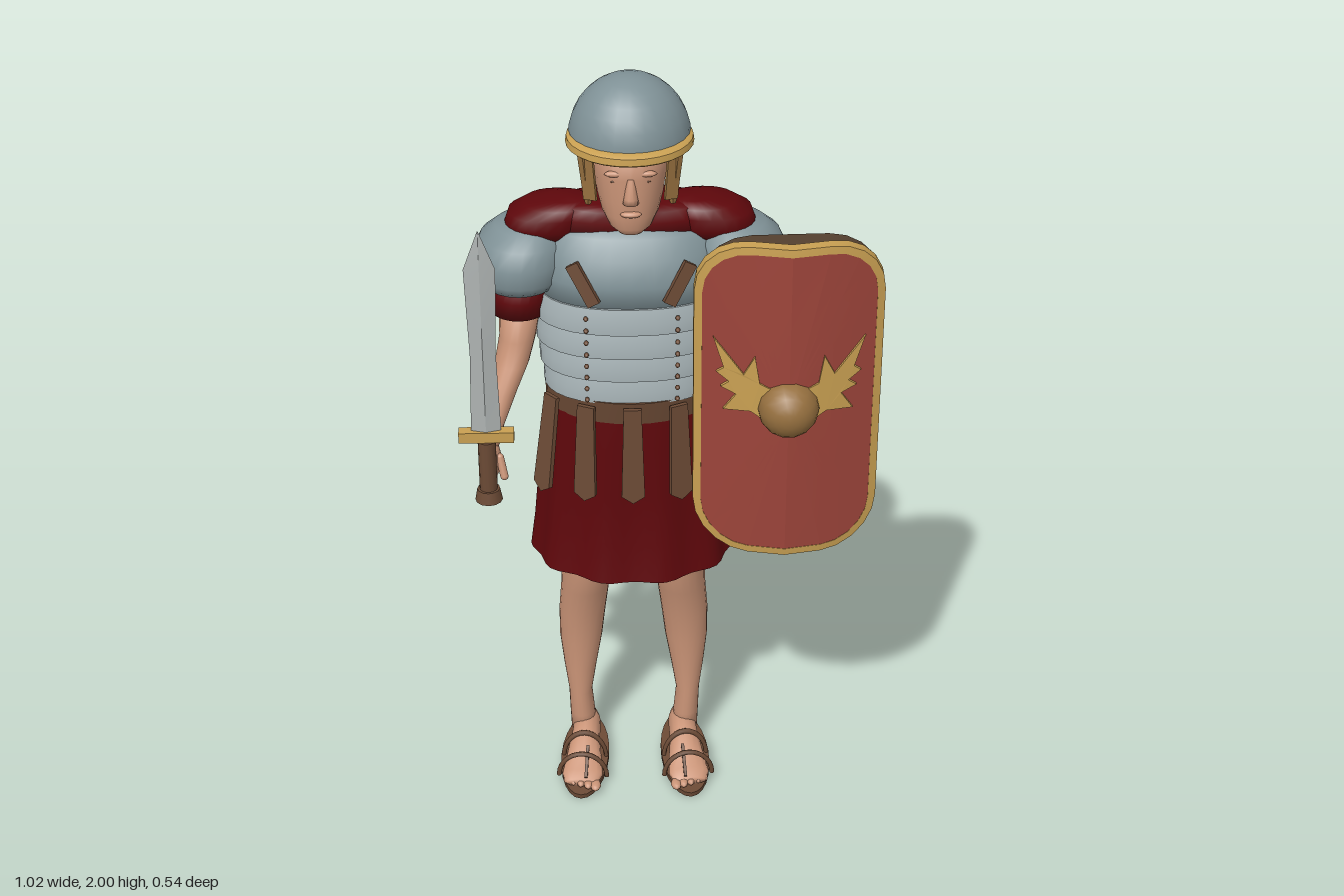
import * as THREE from 'three';
import { toCreasedNormals } from 'three/addons/utils/BufferGeometryUtils.js';

const mat = (name, color, side = THREE.FrontSide) => {
  const m = new THREE.MeshStandardMaterial({ color, side });
  m.name = name;
  return m;
};

// Joins equal-length rings of [x, y, z] points into a skin, with optional end caps.
function skin(rings, { caps = true, crease = 0 } = {}) {
  const n = rings[0].length, pos = rings.flat(2), idx = [];
  for (let i = 0; i < rings.length - 1; i++)
    for (let j = 0; j < n; j++) {
      const a = i * n + j, b = i * n + (j + 1) % n;
      idx.push(a, a + n, b, b, a + n, b + n);
    }
  if (caps) [0, rings.length - 1].forEach((r, end) => {
    const c = pos.length / 3;
    pos.push(...[0, 1, 2].map(k => rings[r].reduce((t, p) => t + p[k], 0) / n));
    for (let j = 0; j < n; j++) {
      const a = r * n + j, b = r * n + (j + 1) % n;
      idx.push(...(end ? [c, b, a] : [c, a, b]));
    }
  });
  const g = new THREE.BufferGeometry();
  g.setAttribute('position', new THREE.Float32BufferAttribute(pos, 3));
  g.setIndex(idx);
  g.computeVertexNormals();
  return crease ? toCreasedNormals(g, crease) : g;
}

// Horizontal (super)ellipse sections, bottom to top: [y, cx, cz, rx, rz]
const bend = (v, e) => Math.sign(v) * Math.abs(v) ** (2 / e);
function loft(sections, { n = 24, e = 2, ...opts } = {}) {
  return skin(sections.map(([y, cx, cz, rx, rz]) => Array.from({ length: n }, (_, j) => {
    const a = j / n * Math.PI * 2;
    return [cx + rx * bend(Math.cos(a), e), y, cz + rz * bend(Math.sin(a), e)];
  })), opts);
}

export function createModel() {
  const M = {
    skin: mat('skin', 0xca9477),
    steel: mat('steel', 0x7f9196),
    plate: mat('bright plate', 0xa6b2b5),
    blade: mat('blade steel', 0xadb2b1),
    gold: mat('gold', 0xc9a052),
    bronze: mat('bronze', 0x96703f),
    cloth: mat('dark red cloth', 0x5e070b, THREE.DoubleSide),
    shield: mat('shield red', 0x9c443a),
    leather: mat('leather', 0x6b4a35),
    wood: mat('shield back', 0x54402f),
  };
  const model = new THREE.Group();
  const body = new THREE.Group();
  body.name = 'soldier';
  body.position.x = -0.09;
  model.add(body);
  const add = (parent, name, geo, m, p = [0, 0, 0], r = [0, 0, 0]) => {
    const mesh = new THREE.Mesh(geo, m);
    mesh.name = name;
    mesh.position.set(...p);
    mesh.rotation.set(...r);
    parent.add(mesh);
    return mesh;
  };
  const ball = (x, y, z, seg = 14) => new THREE.SphereGeometry(1, seg, 10).scale(x, y, z);
  const box = (x, y, z) => new THREE.BoxGeometry(x, y, z);

  // Head and neck
  add(body, 'neck', loft([[1.58, 0, -0.085, 0.08, 0.07], [1.66, 0, -0.08, 0.07, 0.065], [1.75, 0, -0.08, 0.068, 0.06]]), M.skin);
  add(body, 'head', loft([
    [1.645, 0, 0.04, 0.028, 0.025], [1.66, 0, 0.022, 0.05, 0.05], [1.69, 0, -0.012, 0.069, 0.09],
    [1.73, 0, -0.03, 0.08, 0.11], [1.79, 0, -0.032, 0.088, 0.113], [1.87, 0, -0.035, 0.09, 0.113],
  ], { e: 2.2 }), M.skin);
  add(body, 'nose', loft([[1.735, 0, 0.08, 0.019, 0.02], [1.75, 0, 0.082, 0.016, 0.018], [1.795, 0, 0.076, 0.008, 0.01]], { n: 10 }), M.skin);
  add(body, 'lips', ball(0.025, 0.008, 0.012), M.skin, [0, 1.705, 0.077]);

  // Helmet: the brim sits forward, vanishing under the bowl at the back
  const bowl = new THREE.SphereGeometry(1, 24, 8, 0, Math.PI * 2, 0, Math.PI / 2).scale(0.145, 0.155, 0.14);
  add(body, 'helmetBowl', bowl, M.steel, [0, 1.845, -0.054]);
  add(body, 'helmetBrim', loft([[1.838, 0, -0.037, 0.145, 0.141], [1.842, 0, -0.037, 0.151, 0.145],
    [1.858, 0, -0.037, 0.149, 0.143], [1.864, 0, -0.04, 0.14, 0.136]], { n: 28, crease: 0.6 }), M.gold);

  // Scarf: a collar with a lobe over each shoulder
  add(body, 'scarfCollar', loft([[1.6, 0, -0.085, 0.2, 0.088], [1.64, 0, -0.085, 0.2, 0.088],
    [1.665, 0, -0.085, 0.17, 0.082], [1.677, 0, -0.08, 0.09, 0.076]], { n: 28, e: 2.2 }), M.cloth);

  // Cuirass and overlapping bands
  add(body, 'cuirass', loft([[1.42, 0, -0.09, 0.224, 0.152], [1.5, 0, -0.092, 0.23, 0.159],
    [1.56, 0, -0.098, 0.224, 0.146], [1.605, 0, -0.102, 0.2, 0.118], [1.635, 0, -0.1, 0.14, 0.095]], { n: 32, e: 2.3 }), M.steel);
  [0.214, 0.223, 0.231, 0.233].forEach((rx, i) => {
    const y = 1.178 + i * 0.066, rz = rx * 0.69;
    add(body, 'torsoBand', loft([[y, 0, -0.085, rx * 0.97, rz * 0.97], [y + 0.004, 0, -0.085, rx * 1.015, rz * 1.015],
      [y + 0.035, 0, -0.085, rx * 1.015, rz * 1.015], [y + 0.07, 0, -0.085, rx * 0.97, rz * 0.96]],
    { n: 32, e: 2.3, crease: 0.7 }), M.plate);
  });

  // Belt (higher at the back), skirt and hanging straps
  add(body, 'belt', loft([[-0.032, 0, 0, 0.214, 0.141], [0.032, 0, 0, 0.214, 0.145]], { n: 32, crease: 0.6 }),
    M.leather, [0, 1.168, -0.077], [0.1, 0, 0]);
  const folds = 60;
  add(body, 'skirt', skin([
    [0.655, 0.257, 0.17, -0.094, 0.007], [0.77, 0.245, 0.153, -0.093, 0.006], [0.9, 0.234, 0.143, -0.087, 0.005],
    [1.05, 0.221, 0.139, -0.08, 0.003], [1.175, 0.206, 0.133, -0.076, 0],
  ].map(([y, rx, rz, cz, amp], i) => Array.from({ length: folds }, (_, j) => {
    const a = j / folds * Math.PI * 2, f = amp * Math.cos(a * 10);
    const z = cz + (rz + f) * Math.sin(a);
    return [(rx + f) * Math.cos(a), y + (i === 0 ? (0.08 - z) * 0.1 : 0), z];
  })), { caps: false }), M.cloth);
  const strapShape = new THREE.Shape([[-0.022, 0.02], [-0.029, -0.225], [0, -0.245], [0.029, -0.225], [0.022, 0.02]]
    .map(p => new THREE.Vector2(...p)));
  const strapGeo = new THREE.ExtrudeGeometry(strapShape, { depth: 0.012, bevelEnabled: false });
  for (const [t, lean] of [[-1, -0.15], [-0.5, -0.06], [0, -0.04], [0.5, -0.06], [1, -0.15]]) {
    const strap = add(body, 'hangingStrap', strapGeo, M.leather, [0.232 * Math.sin(t), 1.155, -0.08 + 0.153 * Math.cos(t)]);
    strap.rotation.set(lean, t * 0.85, 0, 'YXZ');
  }

  // Mirrored parts: s = 1 is the left side, s = -1 the right
  for (const s of [1, -1]) {
    const limb = (sections, opts) => loft(sections.map(([y, x, ...rest]) => [y, x * s, ...rest]), opts);
    add(body, 'eye', ball(0.012, 0.004, 0.005, 8), M.leather, [s * 0.035, 1.785, 0.067]);
    add(body, 'brow', ball(0.026, 0.008, 0.01, 8), M.skin, [s * 0.036, 1.805, 0.068]);
    add(body, 'ear', ball(0.01, 0.032, 0.018, 8), M.skin, [s * 0.087, 1.775, -0.05]);
    add(body, 'cheekGuard', limb([[1.71, 0.099, 0.008, 0.008, 0.026], [1.73, 0.1, 0, 0.012, 0.04],
      [1.845, 0.112, -0.002, 0.014, 0.045]], { n: 8, e: 4, crease: 0.6 }), M.bronze);
    add(body, 'cheekGuardEdge', box(0.034, 0.115, 0.008), M.bronze, [s * 0.098, 1.785, 0.04], [0, s * 0.5, s * -0.08]);
    add(body, 'scarfLobe', limb([[1.585, 0.2, -0.09, 0.095, 0.07], [1.61, 0.2, -0.09, 0.102, 0.08],
      [1.64, 0.192, -0.09, 0.1, 0.081], [1.662, 0.175, -0.089, 0.08, 0.068], [1.674, 0.15, -0.088, 0.045, 0.04]], { e: 2.2 }), M.cloth);
    add(body, 'shoulderGuard', limb([[1.46, 0.268, -0.09, 0.098, 0.115], [1.485, 0.266, -0.09, 0.117, 0.128],
      [1.53, 0.262, -0.09, 0.12, 0.13], [1.575, 0.255, -0.09, 0.107, 0.113], [1.605, 0.248, -0.09, 0.078, 0.082],
      [1.62, 0.24, -0.09, 0.03, 0.035]]), M.steel);
    add(body, 'sleeve', limb([[1.385, 0.272, -0.083, 0.077, 0.09], [1.43, 0.268, -0.085, 0.08, 0.095],
      [1.5, 0.262, -0.09, 0.08, 0.09]]), M.cloth);
    add(body, 'arm', limb([[1.08, 0.348, 0.066, 0.022, 0.026], [1.12, 0.342, 0.047, 0.027, 0.027],
      [1.2, 0.317, 0.008, 0.037, 0.042], [1.26, 0.293, -0.025, 0.042, 0.05], [1.32, 0.278, -0.05, 0.045, 0.053],
      [1.42, 0.268, -0.075, 0.055, 0.06]], { n: 16 }), M.skin);
    // Open left hand, closed right hand behind the grip
    const len = s > 0 ? 0.085 : 0.035;
    add(body, 'palm', ball(0.024, 0.055, 0.034), M.skin, [s * 0.348, 1.04, 0.076]);
    for (let i = 0; i < 4; i++)
      add(body, 'finger', new THREE.CapsuleGeometry(0.0085, len, 3, 8), M.skin,
        [s * 0.345, 1.0 - len / 2, 0.054 + i * 0.016], [-0.1 + i * 0.03, 0, 0]);
    add(body, 'thumb', new THREE.CapsuleGeometry(0.01, 0.05, 3, 8), M.skin, [s * 0.322, 1.03, 0.1], [-0.3, 0, s * -0.2]);

    // Chest strap and studs
    add(body, 'chestStrap', box(0.032, 0.112, 0.014), M.leather, [s * 0.115, 1.51, 0.056], [-0.12, s * 0.25, s * -0.5]);
    for (let i = 0; i < 8; i++)
      add(body, 'stud', ball(0.006, 0.006, 0.008, 8), M.leather, [s * 0.11, 1.195 + i * 0.033, 0.061 + Math.min(i, 4) * 0.003]);

    // Leg
    add(body, 'leg', limb([[0.07, 0.137, -0.1, 0.034, 0.045], [0.13, 0.14, -0.095, 0.033, 0.044],
      [0.2, 0.144, -0.092, 0.031, 0.038], [0.28, 0.143, -0.1, 0.043, 0.047], [0.37, 0.14, -0.106, 0.056, 0.055],
      [0.46, 0.135, -0.1, 0.061, 0.06], [0.55, 0.126, -0.09, 0.063, 0.069], [0.65, 0.115, -0.08, 0.07, 0.088],
      [0.9, 0.108, -0.08, 0.09, 0.1]], { n: 20 }), M.skin);

    // Foot and sandal
    const foot = new THREE.Group();
    foot.name = 'foot';
    foot.position.x = s * 0.136;
    foot.rotation.y = s * 0.08;
    body.add(foot);
    add(foot, 'footSkin', skin([[0.11, 0.032, 0.042, 0.012], [0.08, 0.036, 0.054, 0.018], [0.03, 0.05, 0.048, 0.03],
      [-0.03, 0.068, 0.039, 0.044], [-0.1, 0.078, 0.036, 0.046], [-0.148, 0.066, 0.024, 0.028],
    ].map(([z, cy, rx, ry]) => Array.from({ length: 16 }, (_, j) => {
      const a = j / 16 * Math.PI * 2;
      return [rx * Math.cos(a), cy + ry * Math.sin(a), z];
    }))), M.skin);
    for (let i = 0; i < 5; i++)
      add(foot, 'toe', ball(0.014 - i * 0.0015, 0.011, 0.022, 8), M.skin, [s * (-0.038 + i * 0.02), 0.029, 0.114 - i * 0.007]);
    add(foot, 'sole', new THREE.CylinderGeometry(1, 1, 0.014, 24).scale(0.064, 1, 0.153), M.leather, [0, 0.026, -0.012], [0.11, 0, 0]);
    for (const [z, h, r] of [[0.065, 0.072, 0.064], [-0.01, 0.085, 0.058]])
      add(foot, 'sandalStrap', new THREE.TorusGeometry(1, 0.1, 6, 14, Math.PI).scale(r, h, 0.07), M.leather, [0, 0.022, z]);
    add(foot, 'sandalThong', box(0.008, 0.008, 0.09), M.leather, [s * -0.012, 0.074, 0.072], [0.55, 0, 0]);
  }

  // Sword, held upright
  const sword = new THREE.Group();
  sword.name = 'sword';
  sword.position.set(-0.447, 0, 0.105);
  model.add(sword);
  add(sword, 'blade', loft([[1.13, 0, 0, 0.037, 0.011], [1.2, 0, 0, 0.035, 0.011], [1.35, 0, 0, 0.031, 0.011],
    [1.58, 0, 0, 0.038, 0.01], [1.68, 0, 0, 0.001, 0.001]], { n: 4, crease: 0.3 }), M.blade);
  add(sword, 'guard', box(0.135, 0.028, 0.03), M.gold, [0, 1.125, 0]);
  add(sword, 'grip', new THREE.CylinderGeometry(0.022, 0.022, 0.15, 12), M.leather, [0, 1.035, 0]);
  add(sword, 'pommel', new THREE.CylinderGeometry(0.028, 0.034, 0.032, 12), M.leather, [0, 0.956, 0]);

  // Shield: rounded outline, its front bent back towards the sides, its back flat
  const shield = new THREE.Group();
  shield.name = 'shield';
  shield.position.set(0.28, 1.252, 0);
  model.add(shield);
  const curve = x => 0.21 - 0.064 * (Math.abs(x) / 0.225) ** 1.4;
  const outline = (inset, k, zAt) => {
    const w = 0.225 - inset, h = 0.4225 - inset, r = 0.135 - inset, pts = [];
    for (let q = 0; q < 4; q++) {
      const sx = q === 0 || q === 3 ? 1 : -1, sy = q < 2 ? 1 : -1;
      for (let i = 0; i <= 5; i++) {
        const a = (q + i / 5) * Math.PI / 2;
        pts.push([sx * (w - r) + r * Math.cos(a), sy * (h - r) + r * Math.sin(a)]);
      }
      if (q % 2 === 0) pts.push([0, sy * h]);
    }
    return pts.map(([x, y]) => [x * k, y * k, zAt(x * k)]);
  };
  const bent = dz => x => curve(x) + dz;
  const flat = x => 0.118 - x * 0.03;
  add(shield, 'shieldFace', skin([0.01, 0.25, 0.5, 0.75, 1].map(k => outline(0.018, k, bent(0.008 * (1 - k) + 0.001))),
    { caps: false, crease: 0.05 }), M.shield);
  add(shield, 'shieldRim', skin([[0.02, -0.006], [0.019, 0.002], [0, 0], [0, -0.03], [0.02, -0.03]]
    .map(([i, dz]) => outline(i, 1, bent(dz))), { caps: false, crease: 0.6 }), M.gold);
  add(shield, 'shieldBack', skin([outline(0.005, 1, bent(-0.028)), outline(0.005, 1, flat), outline(0.005, 0.01, flat)],
    { caps: false, crease: 0.5 }), M.wood);
  const boss = new THREE.SphereGeometry(0.074, 14, 6, 0, Math.PI * 2, 0, Math.PI / 2).rotateX(Math.PI / 2);
  add(shield, 'shieldBoss', boss, M.bronze, [0, 0, 0.203]);

  // Wing ornaments, laid over the bent face
  const wing = [[0.03, 0.05], [0.07, 0.068], [0.082, 0.14], [0.108, 0.088], [0.18, 0.178], [0.155, 0.1],
    [0.172, 0.086], [0.142, 0.064], [0.162, 0.048], [0.125, 0.032], [0.155, -0.014], [0.09, -0.01], [0.06, -0.03]];
  for (const s of [1, -1]) {
    const pts = wing.map(([x, y]) => new THREE.Vector2(s * x, y));
    const g = new THREE.ExtrudeGeometry(new THREE.Shape(pts), { depth: 0.008, bevelEnabled: false });
    const p = g.attributes.position;
    for (let i = 0; i < p.count; i++) p.setZ(i, p.getZ(i) + curve(p.getX(i)) + 0.004);
    g.computeVertexNormals();
    add(shield, 'wingOrnament', g, M.gold);
  }
  return model;
}
